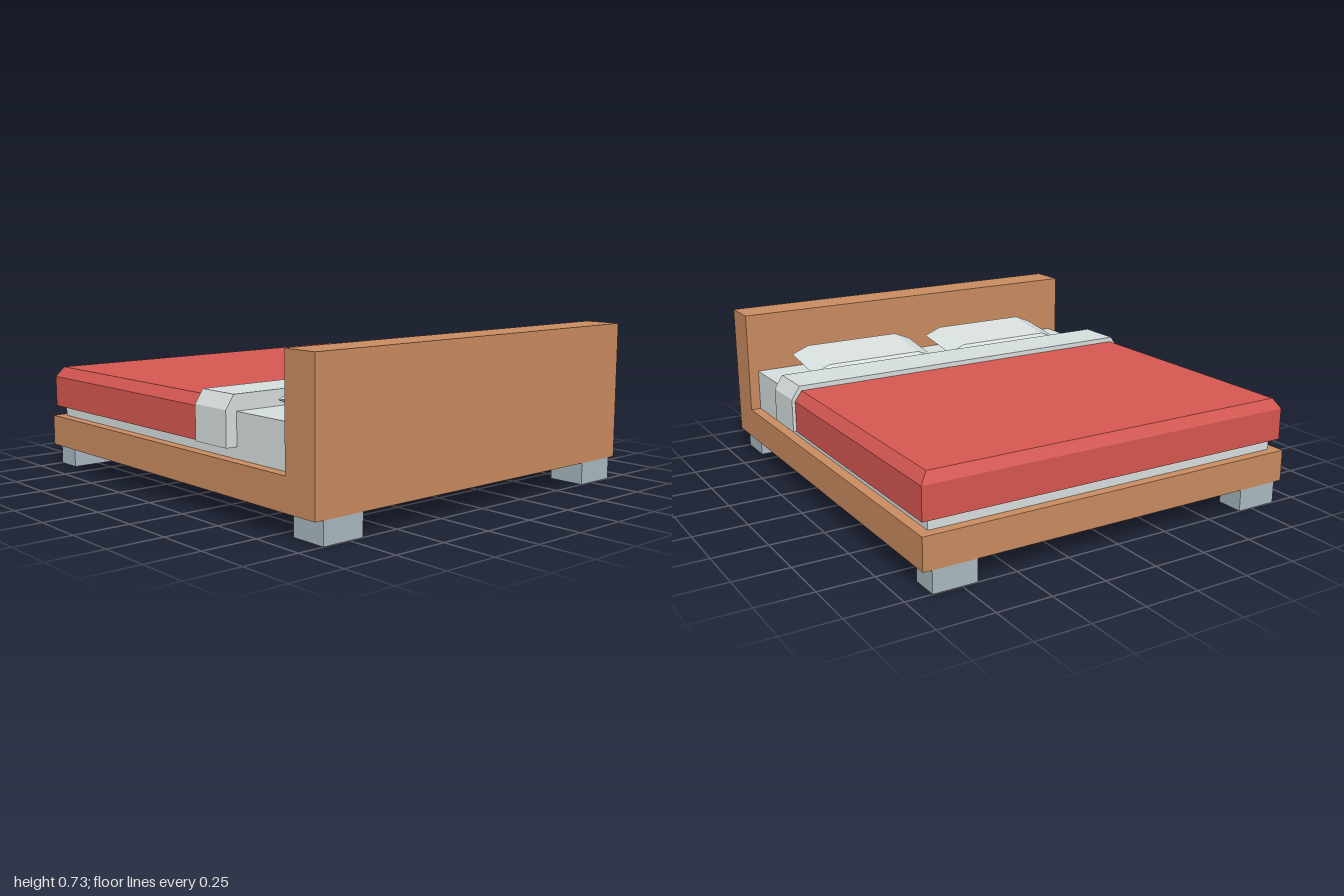
import * as THREE from 'three';
import { ConvexGeometry } from 'three/addons/geometries/ConvexGeometry.js';

const paint = (color) => new THREE.MeshStandardMaterial({ color });
const wood = paint(0xc98b5f);
const metal = paint(0xa8b8be);
const linen = paint(0xd6dedd);
const red = paint(0xd65751);

export function createModel() {
  const bed = new THREE.Group();
  bed.name = 'bed';

  const add = (name, geometry, material) => {
    const mesh = new THREE.Mesh(geometry, material);
    mesh.name = name;
    bed.add(mesh);
    return mesh;
  };

  // Box given by its lower and upper limits on each axis
  const block = (name, material, [x0, x1], [y0, y1], [z0, z1]) =>
    add(name, new THREE.BoxGeometry(x1 - x0, y1 - y0, z1 - z0), material)
      .position.set((x0 + x1) / 2, (y0 + y1) / 2, (z0 + z1) / 2);

  // Frame, headboard and mattress
  block('bedBase', wood, [-0.92, 0.92], [0.1, 0.245], [-1, 0.826]);
  block('headboard', wood, [-0.92, 0.92], [0.1, 0.727], [0.826, 1]);
  block('mattress', linen, [-0.872, 0.872], [0.245, 0.44], [-0.955, 0.826]);

  // Feet, mirrored left and right
  for (const [side, x] of [['left', [0.68, 0.88]], ['right', [-0.88, -0.68]]]) {
    block(side + 'FrontFoot', metal, x, [0, 0.1], [0.826, 1]);
    block(side + 'BackFoot', metal, x, [0, 0.1], [-1, -0.87]);
  }

  // Blanket: bevelled along both sides and the foot end
  const blanket = [];
  for (const [y, x, back] of [[0.295, 0.91, -0.982], [0.44, 0.91, -0.982], [0.487, 0.876, -0.957]]) {
    for (const s of [-1, 1]) {
      blanket.push(new THREE.Vector3(s * x, y, back), new THREE.Vector3(s * x, y, 0.246));
    }
  }
  add('blanket', new ConvexGeometry(blanket), red);

  // Folded sheet: an arch draped over the mattress
  const half = [[0.925, 0.295], [0.925, 0.45], [0.885, 0.51]];
  const inner = [[0.87, 0.435], [0.87, 0.295]];
  const mirror = (points) => points.map(([x, y]) => [-x, y]).reverse();
  const arch = [...half, ...mirror(half), ...mirror(inner), ...inner];
  const fold = new THREE.ExtrudeGeometry(
    new THREE.Shape(arch.map(([x, y]) => new THREE.Vector2(x, y))),
    { depth: 0.214, bevelEnabled: false });
  add('foldedSheet', fold, linen).position.z = 0.246;

  // Pillows: flat top and bottom with a wider rim, leaning on the headboard
  const pillowPoints = [];
  for (const sx of [-1, 1]) {
    for (const sz of [-1, 1]) {
      for (const [x, y, z] of [
        [0.243, 0.036, 0.133], [0.243, -0.036, 0.133], [0.328, 0, 0.133], [0.243, 0, 0.177],
      ]) pillowPoints.push(new THREE.Vector3(sx * x, y, sz * z));
    }
  }
  const pillowGeometry = new ConvexGeometry(pillowPoints);
  for (const [name, x] of [['leftPillow', 0.378], ['rightPillow', -0.378]]) {
    const pillow = add(name, pillowGeometry, linen);
    pillow.position.set(x, 0.495, 0.649);
    pillow.rotation.x = -0.145;
  }

  return bed;
}
